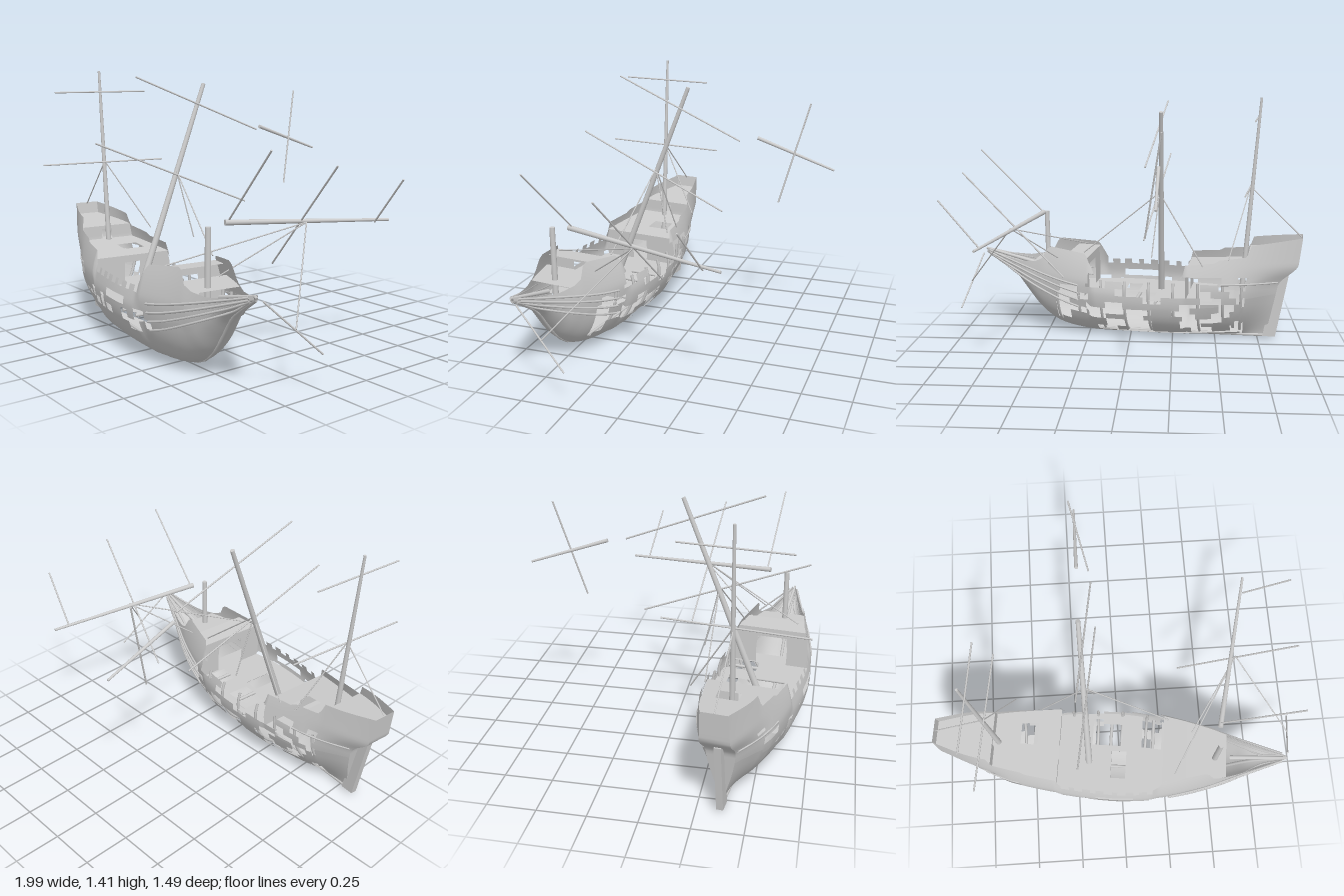
import * as THREE from 'three';

const mat = new THREE.MeshStandardMaterial({ color: 0xcccccc, side: THREE.DoubleSide });
const V = (x, y, z) => new THREE.Vector3(x, y, z);
const { lerp, clamp, smoothstep } = THREE.MathUtils;

// One-dimensional curve through [x, value] pairs
function curve(Type, pts) {
  const f = new Type(pts.map(p => p[0]), pts.map(p => p[1]), 1, new Float32Array(1));
  return x => f.evaluate(clamp(x, pts[0][0], pts[pts.length - 1][0]))[0];
}
const halfBeam = curve(THREE.CubicInterpolant, [[-1, 0.075], [-0.8, 0.145], [-0.6, 0.195], [-0.3, 0.238],
  [0, 0.256], [0.2, 0.235], [0.5, 0.157], [0.7, 0.082], [0.8, 0.045], [0.9, 0.008]]);
const keelY = curve(THREE.CubicInterpolant, [[-1, 0.018], [-0.6, 0.012], [0, 0.006], [0.3, 0.014], [0.45, 0.055],
  [0.55, 0.13], [0.63, 0.23], [0.7, 0.32], [0.8, 0.395], [0.9, 0.455]]);
const topY = curve(THREE.LinearInterpolant, [[-1, 0.62], [-0.71, 0.58], [-0.7, 0.515], [-0.53, 0.495], [-0.52, 0.48],
  [-0.34, 0.465], [-0.33, 0.39], [0.18, 0.39], [0.24, 0.505], [0.46, 0.53], [0.49, 0.51], [0.51, 0.46],
  [0.56, 0.435], [0.65, 0.425], [0.8, 0.445], [0.9, 0.48]]);

// Half width of the hull at station u and height y
function widthAt(u, y) {
  const yb = keelY(u), stern = 1 - smoothstep(u, -0.95, -0.35);
  const full = Math.max(lerp(0.25, 0.4, stern), yb + 0.75 * (Math.min(topY(u), 0.46) - yb));
  const d = y - full;
  if (d >= 0) return halfBeam(u) * (1 - lerp(0.7 * d + 3.5 * d * d, 0.6 * d, stern));
  const s = clamp((y - yb) / (full - yb), 0, 1);
  return halfBeam(u) * Math.pow(1 - (1 - s) ** 2, lerp(0.5, 1.4, stern));
}
// Raked sternpost under an overhanging aftercastle
function shipX(u, y) {
  if (u > -0.6) return u;
  const end = -0.8 - 0.2 * Math.min(y, 0.36) - 0.11 * smoothstep(y, 0.34, 0.47) - 0.12 * Math.max(0, y - 0.47);
  return lerp(-0.6, end, (-0.6 - u) / 0.4);
}
const hullPoint = (u, y, side) => V(shipX(u, y), y, side * widthAt(u, y));

// Surface from a grid of points, leaving out the cells that keep() rejects
function sheet(name, nu, nv, point, keep = () => true) {
  const pos = [], idx = [];
  for (let i = 0; i <= nu; i++) for (let j = 0; j <= nv; j++) pos.push(...point(i, j).toArray());
  for (let i = 0; i < nu; i++) for (let j = 0; j < nv; j++) {
    if (!keep(i, j)) continue;
    const a = i * (nv + 1) + j, b = a + nv + 1;
    idx.push(a, b, a + 1, b, b + 1, a + 1);
  }
  const g = new THREE.BufferGeometry();
  g.setAttribute('position', new THREE.Float32BufferAttribute(pos, 3));
  g.setIndex(idx);
  g.computeVertexNormals();
  return named(name, g);
}
function named(name, geometry) {
  const m = new THREE.Mesh(geometry, mat);
  m.name = name;
  return m;
}
// Straight round pole between two points
function pole(name, a, b, r0, r1 = r0, sides = 8) {
  const p = V(...a), d = V(...b).sub(p);
  const m = named(name, new THREE.CylinderGeometry(r1, r0, d.length(), sides));
  m.position.copy(p).addScaledVector(d, 0.5);
  m.quaternion.setFromUnitVectors(V(0, 1, 0), d.normalize());
  return m;
}
const tube = (name, pts, r) =>
  named(name, new THREE.TubeGeometry(new THREE.CatmullRomCurve3(pts), 28, r, 6));

const hash = (a, b) => { const s = Math.sin(a * 127.1 + b * 311.7) * 43758.5; return s - Math.floor(s); };
const inside = (x, y, [x0, x1, y0, y1]) => x > x0 && x < x1 && y > y0 && y < y1;
const portHoles = [[-0.52, -0.48, 0.21, 0.25], [-0.45, -0.41, 0.21, 0.25], [-0.37, -0.32, 0.2, 0.29], [-0.3, -0.24, 0.2, 0.25],
  [-0.22, -0.17, 0.2, 0.28], [-0.13, 0.09, 0.28, 0.325], [-0.14, -0.07, 0.2, 0.25], [0.06, 0.12, 0.2, 0.26],
  [0.12, 0.2, 0.18, 0.22], [0.17, 0.25, 0.22, 0.28], [0.24, 0.29, 0.2, 0.25], [-0.79, -0.7, 0.375, 0.405],
  [-0.72, -0.54, 0.31, 0.35]];

// Missing planks: neat gaps on one side, long open strakes down to the bilge on the other
function broken(x, y, side) {
  if (x > -0.33 && x < 0.19 && y > 0.355 && Math.floor((x + 1) / 0.04) % 2) return true;
  if (side > 0) return portHoles.some(h => inside(x, y, h));
  if (inside(x, y, [-0.16, 0.0, 0.02, 0.13])) return true;
  if (!inside(x, y, [-0.74, 0.42, 0.03, 0.4]) || (x > 0.22 && (y > 0.33 || y < 0.1))) return false;
  const band = Math.floor(y / 0.04), plank = Math.floor((x + 0.05 * (band % 3)) / 0.11);
  return hash(plank, band) < (y < 0.12 ? 0.65 : 0.52);
}

function buildHull() {
  const hull = new THREE.Group();
  hull.name = 'hull';
  const NU = 128, LOW = 10, NV = 32;
  const station = i => -1 + 1.9 * i / NU;
  const rowY = (u, j) => {
    const yb = keelY(u), yt = topY(u), bend = Math.max(0.2, yb + 0.45 * (yt - yb));
    return j <= LOW ? lerp(yb, bend, (j / LOW) ** 2) : Math.min(Math.max(bend, 0.2 + 0.02 * (j - LOW)), yt);
  };
  for (const side of [1, -1]) {
    hull.add(sheet(side > 0 ? 'leftPlanking' : 'rightPlanking', NU, NV,
      (i, j) => hullPoint(station(i), rowY(station(i), j), side),
      (i, j) => !broken(station(i + 0.5), (rowY(station(i), j) + rowY(station(i), j + 1)) / 2, side)));
    // Rails sweeping together at the beak
    for (let k = 0; k < 4; k++) {
      const pts = [];
      for (let n = 0; n <= 6; n++) {
        const t = n / 6, u = lerp(0.28, 0.88, t);
        const y = Math.max(lerp(0.19 + 0.045 * k, 0.43 + 0.012 * k, t ** 1.2), keelY(u) + 0.004);
        pts.push(V(u, y, side * (widthAt(u, y) + 0.005)));
      }
      hull.add(tube('beakRail', pts, 0.006));
    }
    // Wale along the aftercastle
    hull.add(tube('wale', [-0.98, -0.85, -0.7, -0.55].map(u => hullPoint(u, 0.36, side)), 0.006));
  }
  // Frames showing through the open side
  for (let u = -0.7; u < 0.45; u += 0.14) {
    const pts = [0.03, 0.06, 0.1, 0.15, 0.2, 0.25, 0.3, 0.35].map(h => {
      const y = Math.max(h, keelY(u) + 0.02);
      return V(shipX(u, y), y + 0.012, 0.012 - widthAt(u, y));
    });
    hull.add(tube('rib', pts, 0.008));
  }
  // Flat stern
  hull.add(sheet('transom', NV, 2, (i, j) => hullPoint(-1, rowY(-1, i), j - 1)));
  return hull;
}

function buildDecks() {
  const decks = new THREE.Group();
  decks.name = 'decks';
  // Name, start, end, heights at both and openings as [x0, x1, z0, z1]
  const levels = [
    ['poopDeck', -1, -0.7, 0.555, 0.525, []],
    ['quarterDeck', -0.74, -0.34, 0.455, 0.42, [[-0.56, -0.46, -0.12, 0.0]]],
    ['mainDeck', -0.5, 0.34, 0.26, 0.26, [[-0.16, 0.0, -0.2, -0.06], [-0.05, 0.02, -0.02, 0.14], [0.12, 0.24, -0.25, -0.05]]],
    ['forecastleRoof', 0.23, 0.36, 0.48, 0.49, []],
    ['foredeck', 0.35, 0.58, 0.43, 0.43, []],
  ];
  for (const [name, a, b, ya, yb, gaps] of levels) {
    const n = 30, m = 16, u = i => lerp(a, b, i / n), y = i => lerp(ya, yb, i / n);
    const z = (i, j) => widthAt(u(i), y(i)) * 0.98 * (2 * j / m - 1);
    decks.add(sheet(name, n, m, (i, j) => V(shipX(u(i), y(i)), y(i), z(i, j)),
      (i, j) => !gaps.some(g => inside(u(i + 0.5), z(i, j + 0.5), g))));
  }
  // Cross walls at the castle ends, with a doorway
  for (const [u, y0, y1, door] of [[-0.7, 0.45, 0.525, 1], [-0.35, 0.26, 0.42, 1], [0.24, 0.26, 0.48, 2]])
    decks.add(sheet('bulkhead', 8, 10, (i, j) => {
      const y = lerp(y0, y1, i / 8);
      return V(shipX(u, y), y, widthAt(u, y) * 0.98 * (j / 5 - 1));
    }, (i, j) => i > 5 || j < 5 - door || j > 4 + door));
  // Bare beams over the hold
  for (let u = -0.3; u < 0.2; u += 0.12) {
    const w = widthAt(u, 0.25) * 0.97;
    decks.add(pole('deckBeam', [u, 0.245, -w], [u, 0.245, w], 0.009));
  }
  return decks;
}

export function createModel() {
  const ship = new THREE.Group();
  ship.name = 'wreckedSailingShip';

  // Hull lies turned a little off the axis
  const body = new THREE.Group();
  body.name = 'body';
  body.add(buildHull(), buildDecks());
  const spine = [-0.8, -0.5, -0.2, 0.1, 0.3, 0.45, 0.55, 0.63, 0.7, 0.8, 0.9];
  body.add(tube('keelAndStem', spine.map(u => V(u, keelY(u) + 0.003, 0)), 0.009));
  const blade = new THREE.Shape([[-0.86, 0.015], [-0.785, 0.015], [-0.86, 0.39], [-0.93, 0.4]].map(p => new THREE.Vector2(...p)));
  const rudder = named('rudder', new THREE.ExtrudeGeometry(blade, { depth: 0.034, bevelEnabled: false }));
  rudder.position.z = -0.017;
  body.add(rudder);
  body.rotation.y = -0.122;
  body.position.z = 0.47;
  ship.add(body);

  // Masts, leaning and snapped
  const masts = [
    ['mizzenMast', [-0.655, 0.3, 0.39], [-0.738, 1.405, 0.387], 0.016, 0.007],
    ['mainMast', [-0.18, 0.18, 0.515], [-0.18, 1.342, 0.063], 0.019, 0.011],
    ['brokenMainTopmast', [-0.18, 1.094, -0.33], [-0.18, 0.95, -0.745], 0.01, 0.006],
    ['foremastStump', [0.51, 0.3, 0.55], [0.517, 0.715, 0.55], 0.016, 0.014],
    ['fallenForemast', [0.52, 0.725, 0.455], [0.74, 0.675, -0.41], 0.014, 0.007],
    ['bowsprit', [0.6, 0.4, 0.545], [0.9, 0.475, 0.583], 0.012, 0.007],
  ];
  for (const [name, a, b, r0, r1] of masts) ship.add(pole(name, a, b, r0, r1, 12));

  // Yards
  const yards = [
    [[-0.74, 0.895, 0.745], [-0.635, 0.895, 0.04]], [[-0.755, 1.29, 0.655], [-0.685, 1.29, 0.12]],
    [[-0.21, 1.38, 0.47], [-0.11, 1.085, -0.25]], [[-0.225, 1.05, 0.705], [-0.1, 0.69, -0.16]],
    [[-0.2, 1.29, -0.605], [-0.12, 0.765, -0.465]], [[0.92, 1.0, 0.13], [0.35, 0.44, 0.02]],
    [[0.95, 0.91, -0.275], [0.73, 0.67, -0.32]], [[0.895, 1.09, 0.495], [0.52, 0.73, 0.435]],
    [[0.91, 0.45, 0.55], [0.99, 0.18, 0.27]],
  ];
  for (const [a, b] of yards) ship.add(pole('yard', a, b, 0.0045));

  // Stays running from each rigging point
  const stays = [
    [[-0.69, 0.9, 0.39], [[-0.985, 0.615, 0.35], [-0.56, 0.51, 0.17]]],
    [[-0.17, 0.88, 0.25], [[-0.42, 0.46, 0.22], [0.27, 0.51, 0.34], [-0.13, 0.52, 0.17]]],
    [[0.645, 0.7, 0.06], [[0.28, 0.5, 0.64], [0.4, 0.44, 0.4], [0.955, 0.31, 0.4]]],
  ];
  for (const [from, ends] of stays) for (const to of ends) ship.add(pole('stay', from, to, 0.0035, 0.0035, 6));
  return ship;
}
